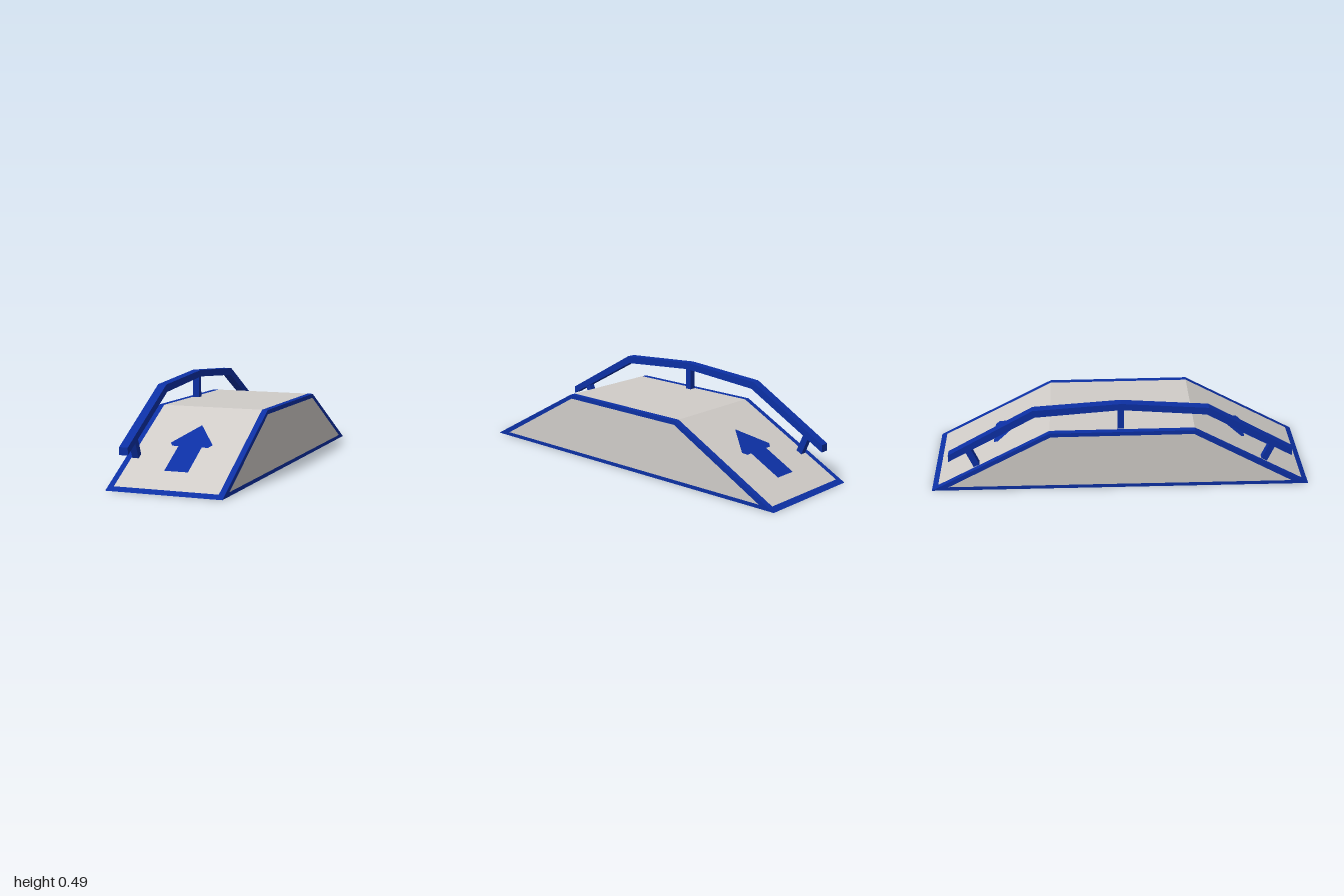
import * as THREE from 'three';

export function createModel() {
  const model = new THREE.Group();
  const mat = (name, color) => new THREE.MeshStandardMaterial({ name, color, side: THREE.DoubleSide, flatShading: true });
  const blue = mat('blue', 0x0c30a4);
  const grey = mat('warm grey', 0xd0ccc8);

  const W = 0.3, IN = 0.27;                 // half width, inside of painted border
  const F = { z: 0.385, y: 0.338 };         // front crest
  const B = { z: -0.37, y: 0.334 };         // back crest
  const height = z => z > F.z ? F.y * (1 - z) / (1 - F.z)
    : z < B.z ? B.y * (1 + z) / (1 + B.z)
    : B.y + (F.y - B.y) * (z - B.z) / (F.z - B.z);

  const shapeOf = (pts, hole) => {
    const s = new THREE.Shape(pts.map(p => new THREE.Vector2(...p)));
    if (hole) s.holes.push(new THREE.Path(hole.map(p => new THREE.Vector2(...p))));
    return s;
  };
  // Flat sheet whose 2D points are placed in space by a rule
  function sheet(name, material, shape, place) {
    const g = new THREE.ShapeGeometry(shape);
    const p = g.attributes.position;
    for (let i = 0; i < p.count; i++) p.setXYZ(i, ...place(p.getX(i), p.getY(i)));
    g.computeVertexNormals();
    const m = new THREE.Mesh(g, material);
    m.name = name;
    model.add(m);
  }

  // Sloping decks: U-shaped border, face and arrow, all in one plane
  const arrow = [[0.062, 0.845], [0.062, 0.675], [0.095, 0.675], [0.112, 0.655], [0, 0.52],
    [-0.112, 0.655], [-0.095, 0.675], [-0.062, 0.675], [-0.062, 0.845]];
  for (const [label, s, crest] of [['front', 1, F.z], ['back', -1, -B.z]]) {
    const place = (x, v) => [s * x, height(-s * v), -s * v];
    const flip = pts => pts.map(([x, z]) => [x, -z]);
    sheet(label + 'SlopeBorder', blue, shapeOf(flip([[-W, crest], [-W, 1], [W, 1], [W, crest],
      [IN, crest], [IN, 0.968], [-IN, 0.968], [-IN, crest]])), place);
    sheet(label + 'SlopeFace', grey, shapeOf(flip([[-IN, crest], [-IN, 0.968], [IN, 0.968], [IN, crest]]),
      flip(arrow)), place);
    sheet(label + 'Arrow', blue, shapeOf(flip(arrow)), place);
  }

  // Level deck in three strips
  for (const [name, m, a, b] of [['deckBorderRight', blue, -W, -IN], ['deckFace', grey, -IN, IN], ['deckBorderLeft', blue, IN, W]]) {
    sheet(name, m, shapeOf([[a, -F.z], [b, -F.z], [b, -B.z], [a, -B.z]]), (x, v) => [x, height(-v), -v]);
  }

  // Side walls with framed borders
  const outer = [[1, 0], [F.z, F.y], [B.z, B.y], [-1, 0]];
  const inner = [[0.91, 0.02], [F.z - 0.005, F.y - 0.022], [B.z + 0.005, B.y - 0.022], [-0.91, 0.02]];
  for (const s of [1, -1]) {
    const side = s > 0 ? 'left' : 'right';
    const flip = pts => pts.map(([z, y]) => [-s * z, y]);
    const place = (a, y) => [s * W, y, -s * a];
    sheet(side + 'WallBorder', blue, shapeOf(flip(outer), flip(inner)), place);
    sheet(side + 'WallFace', grey, shapeOf(flip(inner)), place);
  }

  // Bent handrail, extruded across its width
  const top = [[0.905, 0.197], [0.455, 0.453], [0, 0.485], [-0.455, 0.453], [-0.905, 0.197]];
  const under = [[-0.905, 0.158], [-0.445, 0.414], [0, 0.449], [0.445, 0.414], [0.905, 0.158]];
  const railGeo = new THREE.ExtrudeGeometry(shapeOf([...top, ...under].map(([z, y]) => [-z, y])),
    { depth: 0.046, bevelEnabled: false });
  railGeo.rotateY(Math.PI / 2).translate(-0.271, 0, 0);
  const rail = new THREE.Mesh(railGeo, blue);
  rail.name = 'handrail';
  model.add(rail);

  // Square tube posts, standing square to the surface below
  const up = new THREE.Vector3(0, 1, 0);
  for (const [name, z0, y0, z1, y1] of [['frontPost', 0.757, 0.122, 0.802, 0.228],
    ['middlePost', 0, 0.325, 0, 0.46], ['backPost', -0.757, 0.122, -0.802, 0.228]]) {
    const a = new THREE.Vector3(-0.248, y0, z0), b = new THREE.Vector3(-0.248, y1, z1);
    const r = 0.034 / Math.SQRT2;
    const g = new THREE.CylinderGeometry(r, r, a.distanceTo(b), 4, 1, true).rotateY(Math.PI / 4);
    const post = new THREE.Mesh(g, blue);
    post.name = name;
    post.position.copy(a).lerp(b, 0.5);
    post.quaternion.setFromUnitVectors(up, b.clone().sub(a).normalize());
    model.add(post);
  }
  return model;
}
